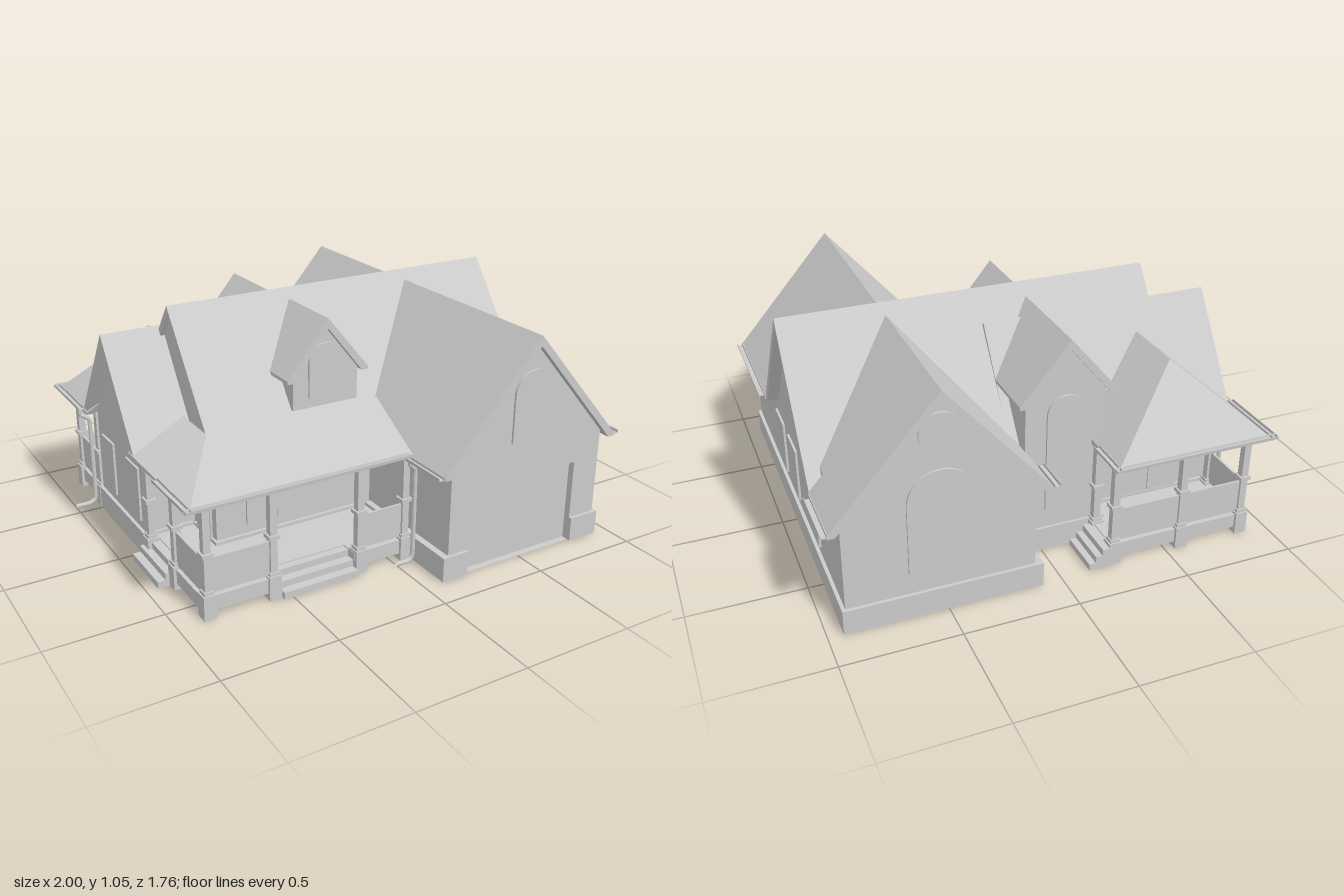
import * as THREE from 'three';
import { ConvexGeometry } from 'three/addons/geometries/ConvexGeometry.js';

const mat = new THREE.MeshStandardMaterial({ color: 0xcccccc, flatShading: true, side: THREE.DoubleSide });
const V = (x, y, z) => new THREE.Vector3(x, y, z);

export function createModel() {
  const house = new THREE.Group();
  house.name = 'house';

  const add = (name, geo, x = 0, y = 0, z = 0, ry = 0) => {
    const m = new THREE.Mesh(geo, mat);
    m.name = name;
    m.position.set(x, y, z);
    m.rotation.y = ry;
    house.add(m);
    return m;
  };
  // Box given by its limits on each axis
  const box = (name, x0, x1, y0, y1, z0, z1) =>
    add(name, new THREE.BoxGeometry(x1 - x0, y1 - y0, z1 - z0), (x0 + x1) / 2, (y0 + y1) / 2, (z0 + z1) / 2);
  const poly = (pts) => new THREE.Shape(pts.map(([x, y]) => new THREE.Vector2(x, y)));
  const extrude = (shape, depth) =>
    new THREE.ExtrudeGeometry(shape, { depth, bevelEnabled: false, curveSegments: 12 });

  // Extrusion from a to b along z, or along x when alongX is set; c is the centre on the other axis
  const run = (name, shape, a, b, c, alongX) => alongX
    ? add(name, extrude(shape, b - a), a, 0, c, Math.PI / 2)
    : add(name, extrude(shape, b - a), c, 0, a);

  // Gable roof slab with flat eave returns
  const roof = (name, h, ridge, eave, a, b, c, alongX) => run(name, poly([
    [-h, eave], [0, ridge], [h, eave], [h, eave - 0.015], [h - 0.03, eave - 0.015],
    [0, ridge - 0.045], [-h + 0.03, eave - 0.015], [-h, eave - 0.015],
  ]), a, b, c, alongX);

  // Wall outline that reaches the underside of such a roof
  const wallShape = (w, y0, h, ridge, eave) => {
    const top = ridge - 0.045;
    const y = top - w * (ridge - eave - 0.03) / (h - 0.03);
    return poly([[-w, y0], [w, y0], [w, y], [0, top], [-w, y]]);
  };
  const FLOOR = 0.1;

  // Main house, left wing, rear bay, dormer
  roof('mainRoof', 0.43, 1.055, 0.49, -0.67, 0.97, -0.125, true);
  run('mainWalls', wallShape(0.375, FLOOR, 0.43, 1.055, 0.49), -0.65, 0.92, -0.125, true);
  roof('wingRoof', 0.31, 0.94, 0.49, -0.93, 0.12, -0.235, true);
  run('wingWalls', wallShape(0.262, FLOOR, 0.31, 0.94, 0.49), -0.88, 0.06, -0.235, true);
  roof('bayRoof', 0.22, 1.0, 0.74, -0.635, -0.16, -0.1);
  run('bayWalls', wallShape(0.18, FLOOR, 0.22, 1.0, 0.74), -0.6, -0.2, -0.1);
  roof('dormerRoof', 0.2, 1.01, 0.765, -0.085, 0.25, -0.1);
  run('dormerWalls', wallShape(0.16, 0.615, 0.2, 1.01, 0.765), -0.05, 0.225, -0.1);

  // Garage wing: its roof stops short of the side gable, its door is set back
  roof('garageRoof', 0.455, 1.01, 0.49, 0.3, 0.88, 0.52);
  roof('garageRoof', 0.455, 1.01, 0.49, -0.855, -0.55, 0.52);
  run('garageRoofMiddle', poly([[-0.455, 0.49], [0, 1.01], [0.39, 0.564], [0.39, 0.53], [0, 0.965],
    [-0.425, 0.475], [-0.455, 0.475]]), -0.55, 0.3, 0.52);
  run('garageWalls', wallShape(0.4, FLOOR, 0.455, 1.01, 0.49), -0.82, 0.815, 0.52);
  const garageFront = wallShape(0.4, 0, 0.455, 1.01, 0.49);
  garageFront.holes.push(new THREE.Path([[-0.305, 0.001], [-0.305, 0.38], [0.265, 0.38], [0.265, 0.001]]
    .map(([x, y]) => new THREE.Vector2(x, y))));
  run('garageFrontWall', garageFront, 0.815, 0.85, 0.52);
  box('garageDoor', 0.2, 0.8, 0, 0.4, 0.8, 0.82);

  // Foundation: a thin wall along the footprint, hollow underneath
  const plan = [[0.935, -0.835], [0.935, 0.865], [0.785, 0.865], [0.785, 0.815], [0.215, 0.815], [0.215, 0.865],
    [0.088, 0.865], [0.088, 0.265], [-0.662, 0.265], [-0.662, 0.04], [-0.895, 0.04], [-0.895, -0.51],
    [-0.295, -0.51], [-0.295, -0.612], [0.088, -0.612], [0.088, -0.835]];
  plan.forEach(([x0, z0], i) => {
    const [x1, z1] = plan[(i + 1) % plan.length];
    const nx = -Math.sign(z1 - z0) * 0.03, nz = Math.sign(x1 - x0) * 0.03;
    box('foundation', Math.min(x0, x1, x0 + nx), Math.max(x0, x1, x0 + nx), 0, 0.11,
      Math.min(z0, z1, z0 + nz), Math.max(z0, z1, z0 + nz));
  });

  // Hipped porch roofs
  const hull = (name, top, low) => add(name, new ConvexGeometry(
    [...top, ...low, ...low.map((p) => V(p.x, 0.485, p.z))]));
  hull('frontPorchRoof', [V(-0.67, 0.6, 0.23), V(0.2, 0.6, 0.23)],
    [V(-0.935, 0.5, 0.64), V(0.2, 0.5, 0.64), V(-0.67, 0.5, 0.23), V(0.2, 0.5, 0.23)]);
  hull('sidePorchRoof', [V(-0.67, 0.6, 0.23), V(-0.67, 0.6, 0)],
    [V(-0.935, 0.5, 0.64), V(-0.935, 0.5, 0.02), V(-0.67, 0.5, 0.23), V(-0.67, 0.5, 0.02)]);
  hull('rearPorchRoof', [V(-0.565, 0.82, -0.61), V(-0.565, 0.82, -0.31)],
    [V(-0.935, 0.5, -0.855), V(-0.225, 0.5, -0.855), V(-0.225, 0.5, -0.5), V(-0.935, 0.5, -0.5)]);

  // Porch decks, raised off the ground and notched for the steps
  [[-0.84, 0.1, 0.25, 0.53], [-0.84, -0.65, 0.03, 0.25], [-0.885, -0.54, 0.53, 0.615], [-0.19, 0.1, 0.53, 0.615],
    [-0.885, -0.84, 0.31, 0.53], [-0.885, -0.235, -0.805, -0.5]]
    .forEach(([x0, x1, z0, z1]) => box('porchDeck', x0, x1, 0.03, 0.095, z0, z1));

  // Steps
  for (let i = 0; i < 3; i++) {
    const h = 0.03 * (i + 1);
    box('frontStep', -0.54, -0.19, h - 0.03, h, 0.52, 0.645 - 0.04 * i);
    box('sideStep', -0.95 + 0.035 * i, -0.84, h - 0.03, h, 0.035, 0.31);
    box('rearStep', -0.24, -0.13 - 0.03 * i, h - 0.03, h, -0.82, -0.625);
  }

  // Porch columns: plinth, shaft, collar and cap
  const column = (x, z) => {
    for (const [r, y0, y1] of [[0.028, 0, 0.105], [0.022, 0.105, 0.12], [0.016, 0.1, 0.49],
      [0.025, 0.272, 0.288], [0.023, 0.475, 0.49]]) {
      box('porchColumn', x - r, x + r, y0, y1, z - r, z + r);
    }
  };
  [[-0.86, 0.6], [-0.57, 0.6], [-0.16, 0.6], [0.065, 0.6], [-0.87, 0.33], [-0.87, 0.06],
    [-0.87, -0.79], [-0.57, -0.79], [-0.25, -0.79], [-0.25, -0.62], [-0.87, -0.53]]
    .forEach(([x, z]) => column(x, z));

  // Solid railing panels
  [[-0.84, -0.585, 0.595, 0.605], [-0.14, 0.05, 0.595, 0.605], [-0.875, -0.865, 0.345, 0.585],
    [-0.855, -0.585, -0.795, -0.785], [-0.555, -0.265, -0.795, -0.785], [-0.875, -0.865, -0.775, -0.545]]
    .forEach(([x0, x1, z0, z1]) => box('railing', x0, x1, 0.105, 0.26, z0, z1));

  // Windows and doors: thin panels turned to face out of their wall
  const FRONT = 0, RIGHT = Math.PI / 2, BACK = Math.PI, LEFT = -Math.PI / 2;
  const rect = (w, y0, y1) => poly([[-w / 2, y0], [w / 2, y0], [w / 2, y1], [-w / 2, y1]]);
  const arch = (w, y0, y1) => {
    const s = new THREE.Shape();
    s.moveTo(-w / 2, y0).lineTo(w / 2, y0).lineTo(w / 2, y1 - w / 2);
    s.absarc(0, y1 - w / 2, w / 2, 0, Math.PI);
    return s;
  };
  const panel = (name, shape, x, z, ry) => add(name, extrude(shape, 0.01), x, 0, z, ry);
  for (const z of [0.25, 0, -0.37]) panel('sideWindow', rect(0.16, 0.15, 0.4), 0.92, z, RIGHT);
  for (const z of [-0.08, -0.37]) panel('wingWindow', rect(0.14, 0.15, 0.4), -0.88, z, LEFT);
  for (const x of [-0.438, -0.292]) panel('frontWindow', rect(0.142, 0.155, 0.41), x, 0.25, FRONT);
  for (const x of [-0.638, -0.492]) panel('rearDoor', rect(0.142, 0.1, 0.4), x, -0.497, BACK);
  panel('sideDoor', rect(0.14, 0.1, 0.4), -0.65, 0.14, LEFT);
  panel('gableWindow', arch(0.21, 0.55, 0.83), 0.92, -0.125, RIGHT);
  panel('garageWindow', arch(0.2, 0.55, 0.86), 0.52, 0.85, FRONT);
  panel('dormerWindow', arch(0.17, 0.66, 0.9), -0.1, 0.225, FRONT);
  panel('rearWindow', arch(0.28, 0.21, 0.66), 0.52, -0.82, BACK);
  panel('bayWindow', arch(0.17, 0.2, 0.74), -0.1, -0.6, BACK);
  panel('roundWindow', new THREE.Shape().absarc(0, 0.82, 0.085, 0, Math.PI * 2), 0.52, -0.82, BACK);

  // Open gutters along the eaves; y is the rim height
  const trough = (y) => poly([[-0.014, y], [-0.011, y], [-0.009, y - 0.011], [0.009, y - 0.011],
    [0.011, y], [0.014, y], [0.012, y - 0.015], [-0.012, y - 0.015]]);
  const MAIN = trough(0.497), PORCH = trough(0.512);
  [[0.32, 0.88, 0.986], [-0.855, -0.58, 0.986], [0.64, 0.88, 0.046], [-0.855, -0.69, 0.046]]
    .forEach(([a, b, x]) => run('gutter', MAIN, a, b, x));
  [[0.33, 0.66, -0.946], [-0.88, -0.53, -0.946], [-0.88, -0.67, -0.214]]
    .forEach(([a, b, x]) => run('porchGutter', PORCH, a, b, x));
  run('porchGutter', PORCH, -0.96, 0.06, 0.65, true);
  run('porchGutter', PORCH, -0.96, -0.2, -0.867, true);

  // Downspouts
  const pipe = (pts) => add('downspout', new THREE.TubeGeometry(
    new THREE.CatmullRomCurve3(pts, false, 'catmullrom', 0.15), 48, 0.01, 8));
  pipe([V(0.046, 0.49, 0.665), V(0.046, 0.465, 0.665), V(0.075, 0.43, 0.66), V(0.075, 0.04, 0.66),
    V(0.05, 0.012, 0.66), V(-0.01, 0.012, 0.66)]);
  pipe([V(-0.946, 0.5, -0.55), V(-0.946, 0.465, -0.55), V(-0.905, 0.43, -0.55), V(-0.905, 0.04, -0.55),
    V(-0.94, 0.012, -0.55), V(-1, 0.012, -0.55)]);

  return house;
}
